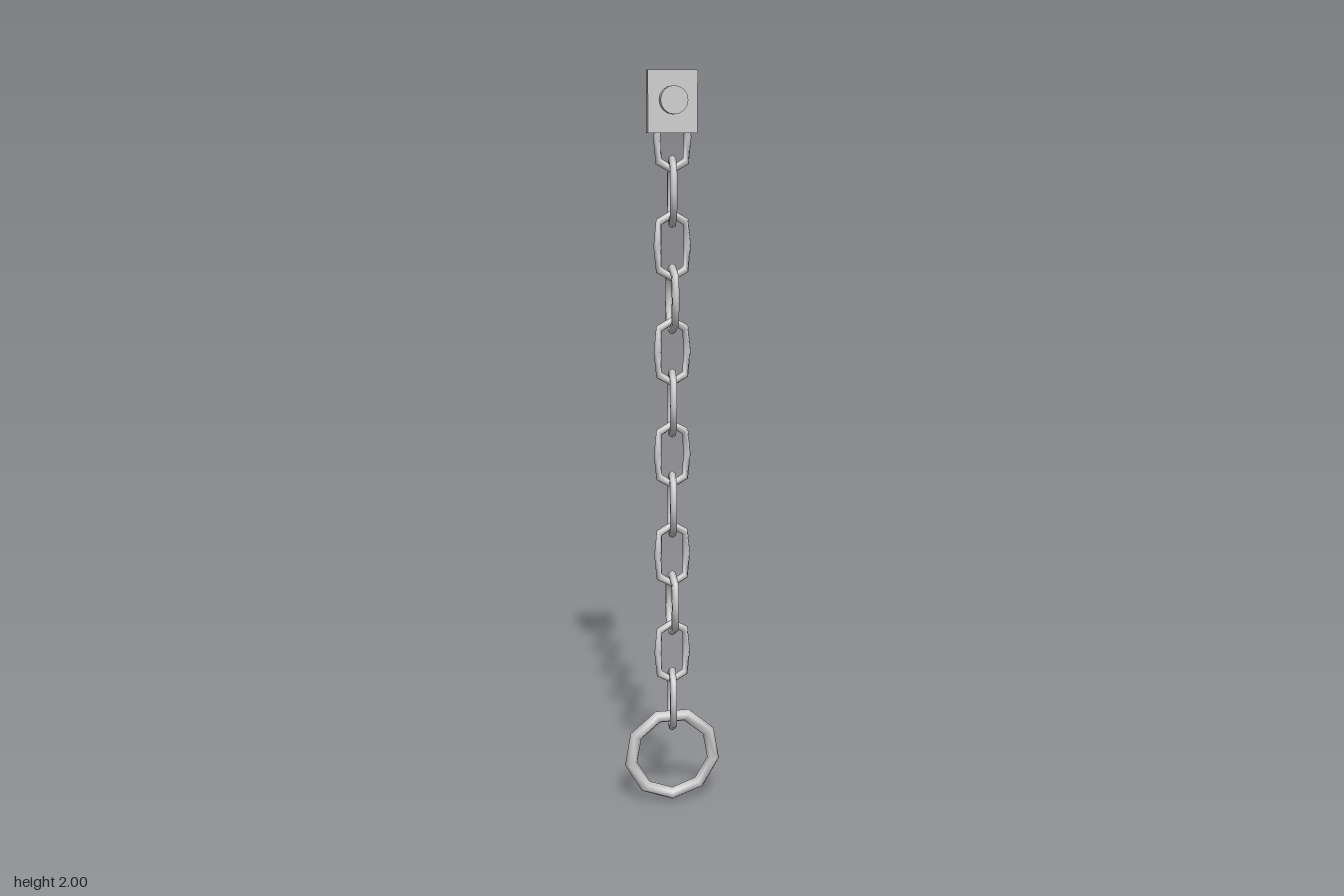
import * as THREE from 'three';

const grey = new THREE.MeshStandardMaterial({ color: 0xcccccc });

function add(group, name, geometry, x, y, z) {
  const mesh = new THREE.Mesh(geometry, grey);
  mesh.name = name;
  mesh.position.set(x, y, z);
  group.add(mesh);
  return mesh;
}

// Eight-sided torus whose rings are moved outwards into a long link with
// square shoulders and pointed ends, keeping the wire thickness constant.
function linkGeometry() {
  const R = 0.04, wire = 0.0105, halfLength = 0.083;
  const geo = new THREE.TorusGeometry(R, wire, 6, 8);
  const pos = geo.attributes.position;
  for (let i = 0; i < pos.count; i++) {
    const u = Math.round(Math.atan2(pos.getY(i), pos.getX(i)) / (Math.PI / 4)) * Math.PI / 4;
    const c = Math.cos(u), s = Math.sin(u);
    const shoulder = Math.abs(c * s) > 0.1;
    pos.setX(i, pos.getX(i) + (shoulder ? R * c * 0.27 : 0));
    pos.setY(i, pos.getY(i) + s * (halfLength - R) * (shoulder ? 1.1 : 1));
  }
  return geo;
}

export function createModel() {
  const model = new THREE.Group();
  model.name = 'wallChain';

  // Wall plate with a round stud
  add(model, 'mountingPlate', new THREE.BoxGeometry(0.13, 0.158, 0.027), -0.001, 1.921, -0.0015);
  const stud = add(model, 'stud', new THREE.CylinderGeometry(0.036, 0.036, 0.024, 16), -0.001, 1.925, 0.022);
  stud.rotation.x = Math.PI / 2;

  // Chain of links, each a quarter turn from the last, with a slight twist
  const twists = [0, -0.1, 0.05, 0.03, 0.05, -0.1, 0.02, -0.1, 0.06, 0.03, 0.04, -0.1];
  const chain = new THREE.Group();
  chain.name = 'chain';
  model.add(chain);
  const geo = linkGeometry();
  twists.forEach((twist, i) => {
    const link = add(chain, 'chainLink' + (i + 1), geo, 0, 1.832 - i * 0.1394, -0.001);
    link.rotation.y = (i % 2) * Math.PI / 2 + twist;
  });

  // Nine-sided ring at the bottom, one corner pointing down
  const ring = add(model, 'endRing', new THREE.TorusGeometry(0.119, 0.0175, 6, 9), 0, 0.1365, 0);
  ring.rotation.z = -Math.PI / 2;

  return model;
}
